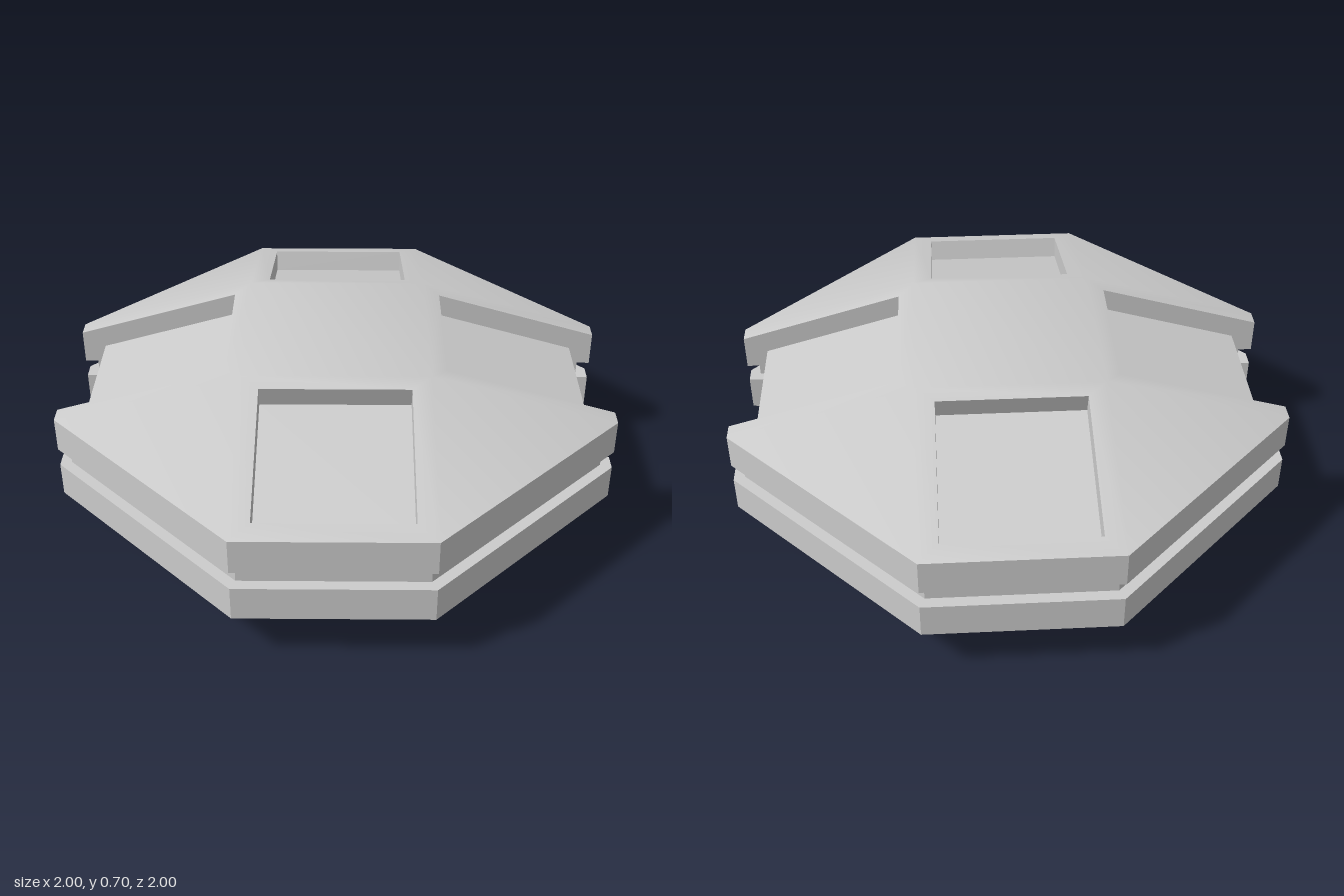
import * as THREE from 'three';
import { toCreasedNormals } from 'three/addons/utils/BufferGeometryUtils.js';

// heights are measured from the middle plane of the hull
const MID = 0.3545, TOP = 0.3525, RIM = 0.162, BASE = 0.034;
const A = 0.335;                      // half width of the plateau and of the straight octagon sides
const SLOPE = (TOP - RIM) / (1 - A);
const DROP = 0.078, SHIFT = 0.022;    // recess floors are sunk square to the slope
const INNER = 0.393, NOTCH = 0.915, NOTCH_W = 0.27;

const height = z => TOP - SLOPE * (z - A);
const top = (x, z) => [x, height(z), z];
const sunk = (x, z) => [x, height(z) - DROP, z - SHIFT];
const base = (x, z) => [x, BASE, z];
const mirror = pts => pts.map(([x, y, z]) => [-x, y, z]).reverse();

// one sloping side facing +z, plus the corner facet to its right
function sideFaces(open) {
  const w = open ? NOTCH_W : 0.265;
  const end = open ? 1 : 0.93;                    // outer edge of the opening
  const floorEnd = open ? NOTCH + SHIFT : end;
  const faces = [];
  const pair = pts => faces.push(pts, mirror(pts));

  // frame around the recess
  faces.push([top(-A, A), top(-w, INNER), top(w, INNER), top(A, A)]);
  pair([top(w, INNER), top(w, end), top(A, 1), top(A, A)]);

  // recess floor and inner wall
  faces.push([sunk(-w, INNER), sunk(-w, floorEnd), sunk(w, floorEnd), sunk(w, INNER)]);
  faces.push([sunk(-w, INNER), sunk(w, INNER), top(w, INNER), top(-w, INNER)]);

  if (open) {
    // notch cut right through the rim
    pair([sunk(-w, floorEnd), sunk(-w, INNER), top(-w, INNER), top(-w, 1), base(-w, 1), base(-w, NOTCH)]);
    faces.push([base(-w, NOTCH), base(w, NOTCH), sunk(w, floorEnd), sunk(-w, floorEnd)]);
    pair([base(w, 1), base(A, 1), top(A, 1), top(w, 1)]);
  } else {
    // closed pocket
    pair([sunk(-w, end), sunk(-w, INNER), top(-w, INNER), top(-w, end)]);
    faces.push([sunk(w, end), sunk(-w, end), top(-w, end), top(w, end)]);
    faces.push([top(-w, end), top(-A, 1), top(A, 1), top(w, end)]);
    faces.push([base(-A, 1), base(A, 1), top(A, 1), top(-A, 1)]);
  }

  // corner facet and its rim
  faces.push([top(A, A), top(A, 1), [1, RIM, A]]);
  faces.push([base(A, 1), base(1, A), [1, RIM, A], top(A, 1)]);
  return faces;
}

function shellGeometry() {
  const pos = [];
  const addFace = (pts, angle) => {
    const v = pts.map(p => new THREE.Vector3(...p).applyAxisAngle(new THREE.Vector3(0, 1, 0), angle));
    for (let i = 1; i < v.length - 1; i++)
      for (const p of [v[0], v[i], v[i + 1]]) pos.push(p.x, p.y, p.z);
  };
  for (let k = 0; k < 4; k++)
    for (const face of sideFaces(k % 2 === 1)) addFace(face, k * Math.PI / 2);
  // central plateau
  addFace([top(-A, -A), top(-A, A), top(A, A), top(A, -A)].map(([x, , z]) => [x, TOP, z]), 0);
  const g = new THREE.BufferGeometry();
  g.setAttribute('position', new THREE.Float32BufferAttribute(pos, 3));
  return toCreasedNormals(g, 0.5);
}

// notched octagon, inset by k
function outline(k) {
  const a = A - k * Math.tan(Math.PI / 8), r = 1 - k, w = NOTCH_W + k, n = NOTCH - k;
  const half = [[r, -a], [r, -w], [n, -w], [n, w], [r, w], [r, a], [a, r], [-a, r]];
  const all = [...half, ...half.map(([x, y]) => [-x, -y])];
  return new THREE.Shape(all.map(p => new THREE.Vector2(...p)));
}

export function createModel() {
  const model = new THREE.Group();
  model.name = 'octagonalHull';
  const material = new THREE.MeshStandardMaterial({ color: 0xcccccc });
  const shell = shellGeometry();
  const cap = new THREE.ShapeGeometry(outline(0)).rotateX(Math.PI / 2).translate(0, BASE, 0);

  // two identical halves, the lower one turned over
  for (const [name, turn] of [['upperHull', 0], ['lowerHull', Math.PI]]) {
    const half = new THREE.Group();
    half.name = name;
    const shellMesh = new THREE.Mesh(shell, material);
    shellMesh.name = name + 'Shell';
    const capMesh = new THREE.Mesh(cap, material);
    capMesh.name = name + 'InnerFace';
    half.add(shellMesh, capMesh);
    half.rotation.x = turn;
    half.position.y = MID;
    model.add(half);
  }

  // recessed band between the halves
  const bandGeo = new THREE.ExtrudeGeometry(outline(0.04), { depth: 2 * BASE, bevelEnabled: false });
  bandGeo.rotateX(Math.PI / 2).translate(0, MID + BASE, 0);
  const band = new THREE.Mesh(bandGeo, material);
  band.name = 'middleBand';
  model.add(band);
  return model;
}
